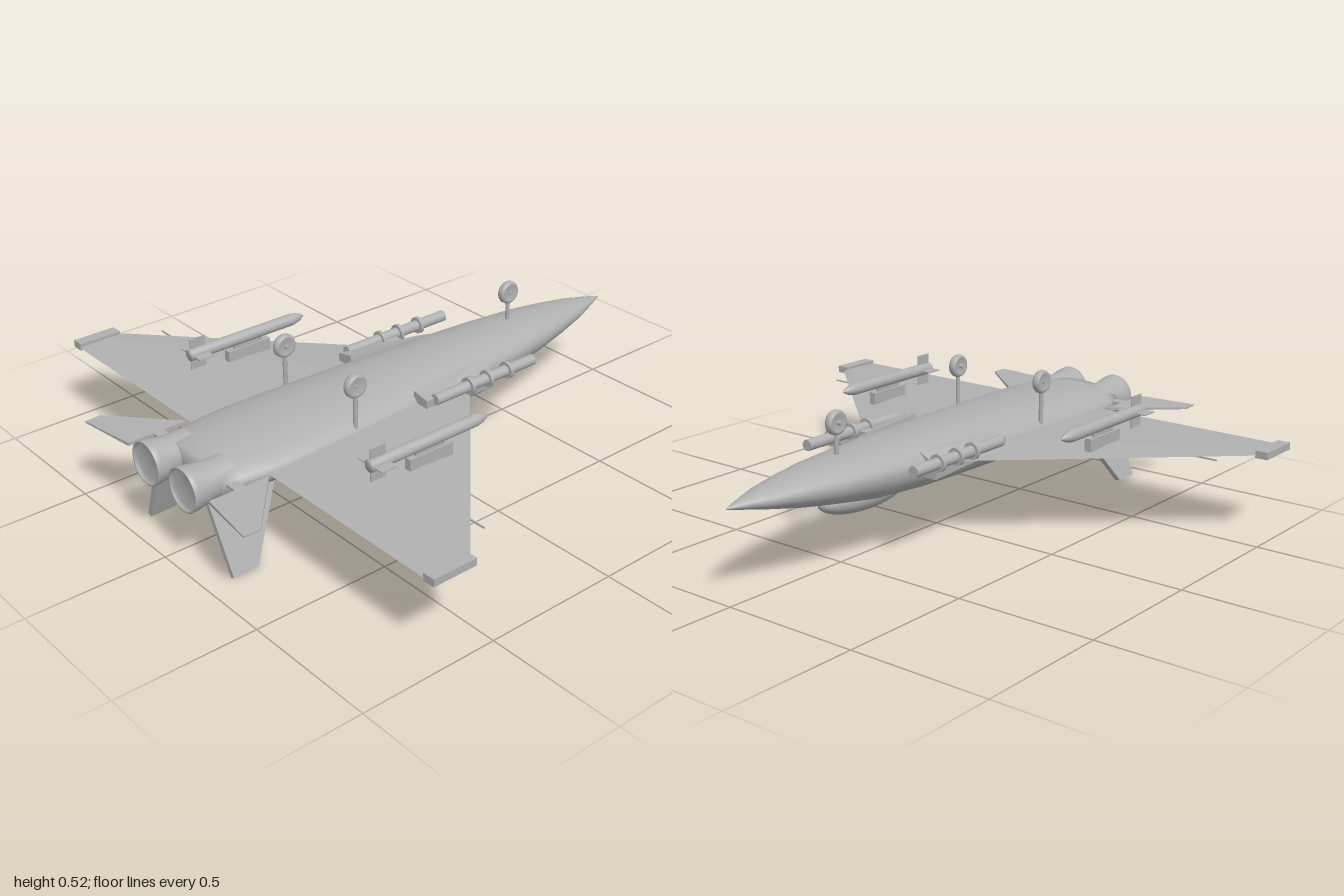
import * as THREE from 'three';
import { ConvexGeometry } from 'three/addons/geometries/ConvexGeometry.js';

const grey = new THREE.MeshStandardMaterial({ color: 0xb0b0b0 });
grey.name = 'light grey';

const add = (parent, name, geometry, x = 0, y = 0, z = 0) => {
  const mesh = new THREE.Mesh(geometry, grey);
  mesh.name = name;
  mesh.position.set(x, y, z);
  parent.add(mesh);
  return mesh;
};

// Convex solid from [x, y, z] corners, mirrored by side
const hull = (points, side) =>
  new ConvexGeometry(points.map(([x, y, z]) => new THREE.Vector3(x * side, y, z)));

// Body of revolution along z, profile of [radius, z] with z falling
const spin = (profile, segments = 24) => {
  const g = new THREE.LatheGeometry(profile.map(([r, z]) => new THREE.Vector2(r, -z)), segments);
  return g.rotateX(-Math.PI / 2);
};
const rod = (r, length, segments = 20) =>
  new THREE.CylinderGeometry(r, r, length, segments).rotateX(Math.PI / 2);

// Smooth loft along z; sections are [z, half width, top y, bottom y, middle y]
function loft(sections, n = 40) {
  const pos = [], index = [];
  for (const [z, w, top, bottom, mid] of sections) {
    for (let j = 0; j < n; j++) {
      const a = (j / n) * Math.PI * 2, s = Math.sin(a);
      pos.push(w * Math.cos(a), mid + s * (s > 0 ? top - mid : mid - bottom), z);
    }
  }
  for (let i = 0; i < sections.length - 1; i++) {
    for (let j = 0; j < n; j++) {
      const a = i * n + j, b = i * n + (j + 1) % n;
      index.push(a, b, a + n, b, b + n, a + n);
    }
  }
  const g = new THREE.BufferGeometry();
  g.setAttribute('position', new THREE.Float32BufferAttribute(pos, 3));
  g.setIndex(index);
  g.computeVertexNormals();
  return g;
}

function landingWheel(parent, name, x, y, z, base, side) {
  const gear = new THREE.Group();
  gear.name = name;
  gear.position.set(x, 0, z);
  add(gear, 'strut', new THREE.CylinderGeometry(0.008, 0.008, y - base, 12), 0, (y + base) / 2, 0);
  const tyre = new THREE.LatheGeometry([
    [0, -0.01], [0.026, -0.01], [0.03, -0.015], [0.038, -0.013], [0.042, -0.006],
    [0.042, 0.006], [0.038, 0.013], [0.03, 0.015], [0.026, 0.01], [0, 0.01],
  ].map(([r, h]) => new THREE.Vector2(r, h)), 28).rotateZ(Math.PI / 2);
  add(gear, 'wheel', tyre, 0, y, 0);
  add(gear, 'axle', new THREE.CylinderGeometry(0.008, 0.008, 0.04, 12).rotateZ(Math.PI / 2), side * 0.005, y, 0);
  parent.add(gear);
}

export function createModel() {
  const jet = new THREE.Group();
  jet.name = 'jet';

  // Fuselage, inverted with its belly up and its nose towards -z
  add(jet, 'fuselage', loft([
    [-1, 0.001, 0.327, 0.323, 0.325],
    [-0.96, 0.018, 0.337, 0.313, 0.325],
    [-0.85, 0.06, 0.357, 0.287, 0.322],
    [-0.72, 0.093, 0.372, 0.258, 0.318],
    [-0.6, 0.119, 0.381, 0.237, 0.314],
    [-0.4, 0.148, 0.386, 0.205, 0.31],
    [-0.2, 0.168, 0.387, 0.193, 0.306],
    [0, 0.185, 0.386, 0.193, 0.303],
    [0.2, 0.202, 0.383, 0.197, 0.302],
    [0.4, 0.212, 0.381, 0.204, 0.302],
    [0.6, 0.219, 0.377, 0.212, 0.302],
    [0.7, 0.215, 0.373, 0.217, 0.302],
    [0.82, 0.198, 0.367, 0.223, 0.3],
    [0.885, 0.184, 0.362, 0.227, 0.3],
    [0.886, 0.001, 0.301, 0.299, 0.3],
  ]));
  const canopy = add(jet, 'canopy', new THREE.SphereGeometry(1, 32, 20), 0, 0.226, -0.385);
  canopy.scale.set(0.072, 0.06, 0.21);

  landingWheel(jet, 'noseGear', 0, 0.49, -0.51, 0.37, -1);

  for (const s of [1, -1]) {
    const half = new THREE.Group();
    half.name = s > 0 ? 'leftParts' : 'rightParts';
    jet.add(half);

    // Engine nozzle with a shallow recess
    add(half, 'nozzle', spin([
      [0, 0.965], [0.066, 0.965], [0.07, 0.98], [0.077, 0.98], [0.076, 0.96], [0.066, 0.9], [0.066, 0.82],
    ].reverse().map(([r, z]) => [r, z]).reverse(), 32), s * 0.105, 0.3, 0);

    // Wing with a thin edge all round and its thickest line at mid chord
    add(half, 'wing', hull([
      [0.12, 0.31, -0.21], [0.25, 0.31, -0.095], [0.945, 0.31, 0.55], [0.945, 0.31, 0.73], [0.12, 0.31, 0.73],
      [0.12, 0.325, 0.1], [0.12, 0.298, 0.1], [0.12, 0.32, 0.45], [0.12, 0.301, 0.45],
      [0.945, 0.314, 0.61], [0.945, 0.306, 0.61],
    ], s));
    add(half, 'wingTipRail', new THREE.BoxGeometry(0.046, 0.026, 0.165), s * 0.963, 0.311, 0.645);
    add(half, 'wingProbe', new THREE.BoxGeometry(0.22, 0.005, 0.005), s * 0.76, 0.308, 0.425);

    // Horizontal tail
    const tail = [[0.23, 0.74], [0.453, 0.935], [0.45, 0.995], [0.23, 0.965]];
    add(half, 'tailplane', hull(tail.flatMap(([x, z], i) => {
      const t = i === 1 || i === 2 ? 0.003 : 0.006;
      return [[x, 0.31 + t, z], [x, 0.31 - t, z]];
    }), s));
    add(half, 'tailplanePivot', new THREE.BoxGeometry(0.06, 0.01, 0.04), s * 0.21, 0.31, 0.85);

    // Splayed fin, pointing down
    add(half, 'fin', hull([
      [0.135, 0.265, 0.65], [0.135, 0.265, 0.92], [0.24, 0.01, 0.905], [0.24, 0.013, 0.81],
    ].flatMap(([x, y, z]) => [[x - 0.009, y - 0.003, z], [x + 0.009, y + 0.003, z]]), s));

    // Air intake
    add(half, 'intake', hull([
      [0.13, 0.27, -0.25], [0.2, 0.27, -0.25], [0.205, 0.32, -0.25], [0.135, 0.355, -0.25],
      [0.16, 0.27, 0.09], [0.215, 0.28, 0.09], [0.235, 0.31, 0.09], [0.235, 0.35, 0.09], [0.17, 0.363, 0.09],
    ], s));

    // Banded pod beside the intake
    const pod = new THREE.Group();
    pod.name = 'bandedPod';
    pod.position.set(s * 0.236, 0.343, 0);
    half.add(pod);
    add(pod, 'tube', rod(0.02, 0.46), 0, 0, -0.175);
    for (const z of [-0.28, -0.185, -0.1]) add(pod, 'band', rod(0.031, 0.013), 0, 0, z);
    add(pod, 'mount', new THREE.BoxGeometry(0.05, 0.02, 0.2), -s * 0.025, -0.01, -0.06);

    // Missile on its pylon
    const missile = new THREE.Group();
    missile.name = 'missile';
    missile.position.set(s * 0.49, 0.395, 0);
    half.add(missile);
    add(missile, 'missileBody', spin([
      [0, 0.55], [0.022, 0.55], [0.022, 0.11], [0.017, 0.085], [0.009, 0.065], [0, 0.053],
    ]));
    for (const [w, h] of [[0.116, 0.004], [0.004, 0.116]]) {
      add(missile, 'missileFin', new THREE.BoxGeometry(w, h, 0.062), 0, 0, 0.515);
    }
    add(missile, 'pylon', new THREE.BoxGeometry(0.026, 0.05, 0.18), 0, -0.06, 0.305);
    add(missile, 'pylonNeck', new THREE.BoxGeometry(0.01, 0.05, 0.12), 0, -0.035, 0.305);

    landingWheel(half, 'mainGear', s * 0.19, 0.485, 0.36, 0.31, -s);
  }
  return jet;
}
